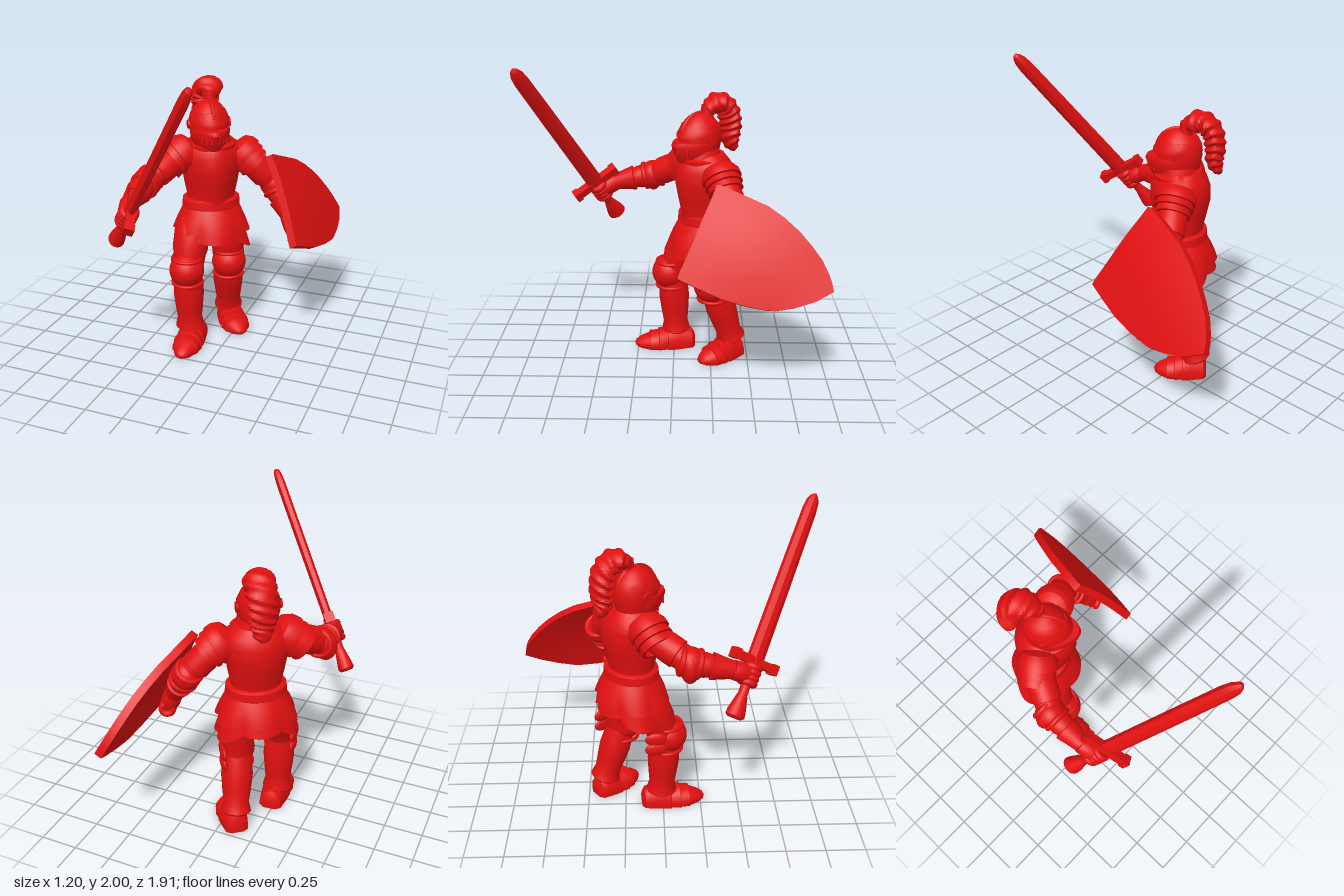
import * as THREE from 'three';
import { toCreasedNormals } from 'three/addons/utils/BufferGeometryUtils.js';

const red = new THREE.MeshStandardMaterial({ color: 0xe01010, side: THREE.DoubleSide });
red.name = 'red';
const V = (x, y, z) => new THREE.Vector3(x, y, z);
const UP = V(0, 1, 0);

function add(parent, name, geo, pos, scale) {
  const m = new THREE.Mesh(geo, red);
  m.name = name;
  if (pos) m.position.copy(pos);
  if (scale) m.scale.copy(scale);
  parent.add(m);
  return m;
}

// Skin a list of equal-length point rings; ends are closed when cap is true
function loft(rings, cap = true, crease = 0.7) {
  const n = rings[0].length, pts = rings.flat(), idx = [];
  for (let i = 0; i < rings.length - 1; i++) for (let j = 0; j < n; j++) {
    const a = i * n + j, b = i * n + (j + 1) % n;
    idx.push(a, a + n, b, b, a + n, b + n);
  }
  if (cap) [0, rings.length - 1].forEach((r, end) => {
    const c = pts.length;
    pts.push(rings[r].reduce((s, p) => s.add(p), V(0, 0, 0)).divideScalar(n));
    for (let j = 0; j < n; j++) {
      const a = r * n + j, b = r * n + (j + 1) % n;
      idx.push(c, end ? b : a, end ? a : b);
    }
  });
  const g = new THREE.BufferGeometry().setFromPoints(pts);
  g.setIndex(idx);
  return toCreasedNormals(g, crease);
}

// Stacked ellipses [y, halfWidth, halfDepth, centreZ]; rule may move each point
function ovals(sections, rule, cap = true, n = 40) {
  return loft(sections.map(([y, rx, rz, cz = 0], i) => Array.from({ length: n }, (_, j) => {
    const a = j / n * Math.PI * 2, p = V(rx * Math.cos(a), y, cz + rz * Math.sin(a));
    if (rule) rule(p, a, i);
    return p;
  })), cap);
}

// Turned piece along a to b; profile is [radius, fraction of length]
function limb(parent, name, a, b, profile) {
  const d = b.clone().sub(a), len = d.length();
  const g = new THREE.LatheGeometry(profile.map(([r, t]) => new THREE.Vector2(r, t * len)), 28);
  const m = add(parent, name, toCreasedNormals(g, 0.7), a);
  m.quaternion.setFromUnitVectors(UP, d.normalize());
}
const ball = (parent, name, p, x, y = x, z = x) => add(parent, name, new THREE.SphereGeometry(1, 24, 16), p, V(x, y, z));

function buildTorso(body) {
  // Breastplate with a soft central ridge
  add(body, 'breastplate', ovals([[0.97, 0.16, 0.13], [1.03, 0.16, 0.135], [1.12, 0.178, 0.155], [1.22, 0.195, 0.175],
    [1.31, 0.205, 0.172], [1.37, 0.19, 0.15], [1.42, 0.13, 0.115]], (p, a) => {
    p.z += 0.03 * Math.max(0, Math.sin(a)) ** 6;
  }));
  add(body, 'gorget', ovals([[1.35, 0.15, 0.145, 0.03], [1.39, 0.155, 0.15, 0.03], [1.4, 0.125, 0.125, 0.03], [1.45, 0.11, 0.115, 0.03]]));
  add(body, 'belt', ovals([[0.95, 0.18, 0.155], [0.96, 0.195, 0.165], [1.01, 0.19, 0.16], [1.02, 0.17, 0.145]]));
  // Two overlapping tiers of pleated skirt plates, higher at front and back
  const hem = drop => (p, a, i) => {
    const t = i / 4, s = Math.abs(Math.sin(3 * a));
    p.y -= t * (drop * Math.cos(2 * a) + 0.03 * s);
    p.x *= 1 + 0.12 * t * s; p.z *= 1 + 0.12 * t * s;
  };
  add(body, 'upperSkirt', ovals([[0.97, 0.18, 0.15], [0.93, 0.2, 0.172], [0.89, 0.218, 0.19], [0.85, 0.232, 0.203], [0.82, 0.24, 0.208]], hem(0.015), false, 60));
  add(body, 'lowerSkirt', ovals([[0.9, 0.195, 0.172], [0.86, 0.21, 0.182], [0.81, 0.222, 0.192], [0.76, 0.235, 0.2], [0.72, 0.245, 0.205]], hem(0.045), false, 60));
  ball(body, 'hips', V(0, 0.86, 0), 0.19, 0.13, 0.16);
}

function buildHelmet(body) {
  const helm = new THREE.Group();
  helm.name = 'helmet';
  helm.position.set(-0.02, 0, 0.028);
  body.add(helm);
  add(helm, 'skull', ovals([[1.38, 0.1, 0.115], [1.43, 0.115, 0.13], [1.5, 0.128, 0.142], [1.56, 0.126, 0.14],
    [1.61, 0.106, 0.12], [1.65, 0.073, 0.083], [1.675, 0.03, 0.035]]));
  // Visor drawn forward to a point
  const beak = (p, a) => { p.z += 0.04 * Math.max(0, Math.sin(a)) ** 4; };
  add(helm, 'visor', ovals([[1.37, 0.1, 0.11, 0.01], [1.42, 0.12, 0.125, 0.022], [1.48, 0.13, 0.138, 0.032], [1.505, 0.126, 0.132, 0.028]], beak));
  add(helm, 'brow', ovals([[1.53, 0.13, 0.134, 0.015], [1.55, 0.132, 0.136, 0.01], [1.58, 0.122, 0.128, 0.0], [1.61, 0.108, 0.115, 0]], (p, a) => {
    p.z += 0.015 * Math.max(0, Math.sin(a)) ** 4;
  }));
  const crest = add(helm, 'crestRidge', new THREE.TorusGeometry(0.136, 0.013, 8, 30, Math.PI), V(0, 1.535, 0.005));
  crest.rotation.y = Math.PI / 2;
  crest.scale.y = 1.03;
  for (const s of [-1, 1]) {
    const hinge = add(helm, 'visorHinge', new THREE.CylinderGeometry(0.028, 0.032, 0.025, 18), V(s * 0.128, 1.52, 0));
    hinge.rotation.z = Math.PI / 2;
    for (let i = 0; i < 3; i++) {
      const bar = add(helm, 'visorBar', new THREE.BoxGeometry(0.01, 0.05, 0.012), V(s * (0.022 + i * 0.028), 1.45, 0.188 - i * 0.019));
      bar.rotation.y = s * 0.5;
    }
  }
  // Curling plume with feathery spiral ridges
  const plume = new THREE.Group();
  plume.name = 'plume';
  plume.position.set(0.028, 0, 0.005);
  helm.add(plume);
  add(plume, 'plumeSocket', new THREE.CylinderGeometry(0.036, 0.045, 0.1, 18), V(-0.01, 1.675, -0.045));
  const path = new THREE.CatmullRomCurve3([V(0, 1.68, -0.045), V(0, 1.715, -0.075), V(0, 1.73, -0.14), V(0, 1.68, -0.2), V(0, 1.58, -0.225), V(0, 1.48, -0.225), V(0, 1.4, -0.26)]);
  const N = 56, M = 24, rings = [];
  for (let i = 0; i <= N; i++) {
    const t = i / N, c = path.getPointAt(t), d = path.getTangentAt(t), up = V(1, 0, 0).cross(d);
    const r = 0.066 * Math.min(1, 0.5 + t * 3) * Math.sqrt(Math.max(0.03, 1 - t ** 5));
    rings.push(Array.from({ length: M }, (_, j) => {
      const a = j / M * Math.PI * 2, k = r * (1 + 0.1 * Math.sin(t * 60 + 3 * Math.abs(Math.PI - a)));
      return c.clone().addScaledVector(up, k * Math.sin(a)).add(V(1.35 * k * Math.cos(a), 0, 0));
    }));
  }
  add(plume, 'plumeFeathers', loft(rings));
}

function buildLeg(root, side, hip, knee, ankle, foot, yaw, len) {
  limb(root, side + 'Thigh', hip, knee, [[0.1, 0], [0.118, 0.25], [0.118, 0.6], [0.108, 0.7], [0.1, 1]]);
  limb(root, side + 'Greave', knee, ankle, [[0.09, 0], [0.098, 0.2], [0.103, 0.4], [0.093, 0.65], [0.083, 0.85], [0.098, 1], [0.08, 1.04]]);
  // Knee guard with a flared wing
  const k = new THREE.Group();
  k.name = side + 'KneeGuard';
  k.position.copy(knee);
  k.rotation.y = yaw;
  root.add(k);
  ball(k, 'kneeCap', V(0, 0.01, 0.025), 0.117, 0.115, 0.117);
  for (const y of [0.09, -0.085]) {
    const band = add(k, 'kneeBand', new THREE.TorusGeometry(0.098, 0.012, 10, 30), V(0, y, 0.01));
    band.rotation.x = Math.PI / 2;
  }
  const s = side === 'left' ? 1 : -1;
  for (const y of [-0.03, 0.045]) ball(k, 'kneeWing', V(s * 0.11, y, -0.07), 0.02, 0.045, 0.07);
  // Pointed, plated shoe: [distance from heel, half width, height]
  const f = new THREE.Group();
  f.name = side + 'Foot';
  f.position.copy(foot);
  f.rotation.y = yaw;
  root.add(f);
  const sec = [[0, 0.045, 0.08], [0.05, 0.075, 0.12], [0.3, 0.09, 0.16], [0.45, 0.096, 0.145], [0.46, 0.09, 0.125], [0.6, 0.1, 0.125],
    [0.61, 0.094, 0.108], [0.75, 0.09, 0.105], [0.76, 0.082, 0.09], [0.9, 0.056, 0.068], [0.98, 0.03, 0.045], [1, 0.008, 0.02]];
  add(f, 'shoe', loft(sec.map(([t, w, h]) => Array.from({ length: 28 }, (_, j) => {
    const a = j / 28 * Math.PI * 2;
    return V(w * Math.cos(a), Math.max(0, 0.025 + (h - 0.025) * Math.sin(a)), t * len);
  }))));
}

function buildArm(root, side, neck, cap, elbow, wrist, hand) {
  // Layered shoulder plates
  limb(root, side + 'Pauldron', neck, cap, [[0.03, -0.2], [0.1, -0.05], [0.124, 0.2], [0.128, 0.45], [0.112, 0.47],
    [0.122, 0.72], [0.104, 0.74], [0.112, 1], [0.09, 1]]);
  const shoulder = neck.clone().lerp(cap, 0.5);
  limb(root, side + 'UpperArm', shoulder, elbow, [[0.08, 0], [0.092, 0.4], [0.092, 0.7], [0.082, 0.72], [0.078, 1]]);
  // Elbow cup, bands and a small outer wing
  ball(root, side + 'ElbowGuard', elbow, 0.095);
  const dir = wrist.clone().sub(elbow).normalize();
  const s = side === 'left' ? 1 : -1;
  ball(root, side + 'ElbowWing', elbow.clone().add(V(s * 0.03, -0.02, 0)), 0.075, 0.1, 0.06);
  for (const o of [-0.05, 0.055]) {
    const p = elbow.clone().addScaledVector(dir, o);
    const band = add(root, side + 'ElbowBand', new THREE.TorusGeometry(0.078, 0.018, 10, 28), p);
    band.quaternion.setFromUnitVectors(V(0, 0, 1), dir);
  }
  limb(root, side + 'Forearm', elbow, wrist, [[0.07, 0], [0.077, 0.35], [0.068, 0.48], [0.084, 0.5], [0.068, 0.75], [0.055, 1]]);
  limb(root, side + 'Gauntlet', wrist, hand, [[0.055, -0.1], [0.06, 0], [0.062, 0.5], [0.055, 0.95], [0, 1.1]]);
}

// Curled fingers around a grip axis
function fingers(root, name, centre, axis, radius) {
  for (let i = 0; i < 4; i++) {
    const p = centre.clone().addScaledVector(axis, (i - 1.5) * 0.033);
    const ring = add(root, name, new THREE.TorusGeometry(radius, 0.023, 10, 20), p);
    ring.quaternion.setFromUnitVectors(V(0, 0, 1), axis);
  }
}

function buildSword(root) {
  const g = new THREE.Group();
  g.name = 'sword';
  const y = V(0.73, 1.11, 0.52).normalize();
  const x = V(-0.1, 0.16, -0.28).projectOnPlane(y).normalize();
  g.quaternion.setFromRotationMatrix(new THREE.Matrix4().makeBasis(x, y, x.clone().cross(y)));
  g.position.set(-0.55, 0.875, 0.415);
  root.add(g);
  // Blade with a ridged section and a rounded tip
  const rows = [[0.36, 0.055, 1], [1.0, 0.05, 1], [1.33, 0.046, 1], [1.39, 0.039, 0.9], [1.425, 0.024, 0.7], [1.44, 0.008, 0.4]];
  add(g, 'blade', loft(rows.map(([h, w, k]) => [[w, 0.014], [w * 0.35, 0.03], [-w * 0.35, 0.03], [-w, 0.014],
    [-w, -0.014], [-w * 0.35, -0.03], [w * 0.35, -0.03], [w, -0.014]].map(([a, b]) => V(a, h, b * k))), true, 0.3));
  add(g, 'crossguard', new THREE.BoxGeometry(0.34, 0.05, 0.055), V(0, 0.345, 0));
  for (const s of [-1, 1]) add(g, 'guardEnd', new THREE.BoxGeometry(0.04, 0.065, 0.065), V(s * 0.15, 0.345, 0));
  add(g, 'grip', new THREE.CylinderGeometry(0.03, 0.03, 0.27, 16), V(0, 0.22, 0));
  add(g, 'pommel', ovals([[-0.015, 0.045, 0.04], [0.0, 0.062, 0.053], [0.03, 0.06, 0.05], [0.13, 0.034, 0.032]], null, true, 20));
}

function buildShield(root) {
  // Rows run down the plate: [distance, back z, front z]
  const rows = [[0, -0.29, -0.265], [0.057, -0.415, -0.245], [0.13, -0.574, -0.215], [0.2, -0.67, -0.185], [0.283, -0.76, -0.152], [0.365, -0.83, -0.12],
    [0.447, -0.89, -0.085], [0.53, -0.93, -0.048], [0.577, -0.945, -0.032], [0.63, -0.955, -0.15], [0.69, -0.85, -0.29], [0.73, -0.73, -0.44], [0.75, -0.62, -0.57]];
  const n = V(0.884, 0.468, 0), K = 10;
  add(root, 'shield', loft(rows.map(([s, z0, z1]) => {
    const line = off => Array.from({ length: K + 1 }, (_, i) => {
      const z = z0 + (z1 - z0) * i / K;
      const bulge = 0.035 * Math.sin(Math.PI * s / 0.76) * Math.sin(Math.PI * (-z - 0.02) / 0.95);
      const lean = -0.07 * s * (z + 0.55);
      return V(0.222 + 0.468 * s + lean, 1.305 - 0.884 * s, z).addScaledVector(n, bulge + off);
    });
    return [...line(0.025), ...line(-0.025).reverse()];
  }), true, 0.6));
}

export function createModel() {
  const root = new THREE.Group();
  root.name = 'knight';
  const body = new THREE.Group();
  body.name = 'body';
  body.position.set(-0.155, 0, -0.2);
  body.rotation.y = 0.62;
  root.add(body);
  buildTorso(body);
  buildHelmet(body);
  buildLeg(root, 'right', V(-0.25, 0.87, -0.12), V(-0.242, 0.54, 0.01), V(-0.24, 0.12, -0.012), V(-0.235, 0, -0.143), 0.1, 0.42);
  buildLeg(root, 'left', V(-0.06, 0.87, -0.26), V(-0.06, 0.52, -0.27), V(-0.1, 0.13, -0.39), V(-0.14, 0, -0.452), 0.66, 0.35);
  const rHand = V(-0.42, 1.08, 0.51), grip = V(0.73, 1.11, 0.52).normalize();
  buildArm(root, 'right', V(-0.27, 1.36, -0.12), V(-0.39, 1.25, -0.03), V(-0.45, 1.185, 0.15), V(-0.45, 1.13, 0.41), rHand);
  fingers(root, 'rightFingers', rHand, grip, 0.042);
  const lHand = V(0.405, 0.765, -0.32);
  buildArm(root, 'left', V(0.0, 1.34, -0.285), V(0.1, 1.23, -0.33), V(0.22, 1.08, -0.4), V(0.35, 0.88, -0.34), lHand);
  fingers(root, 'leftFingers', lHand, V(0.35, -0.2, 0.9).normalize(), 0.035);
  buildSword(root);
  buildShield(root);
  return root;
}
